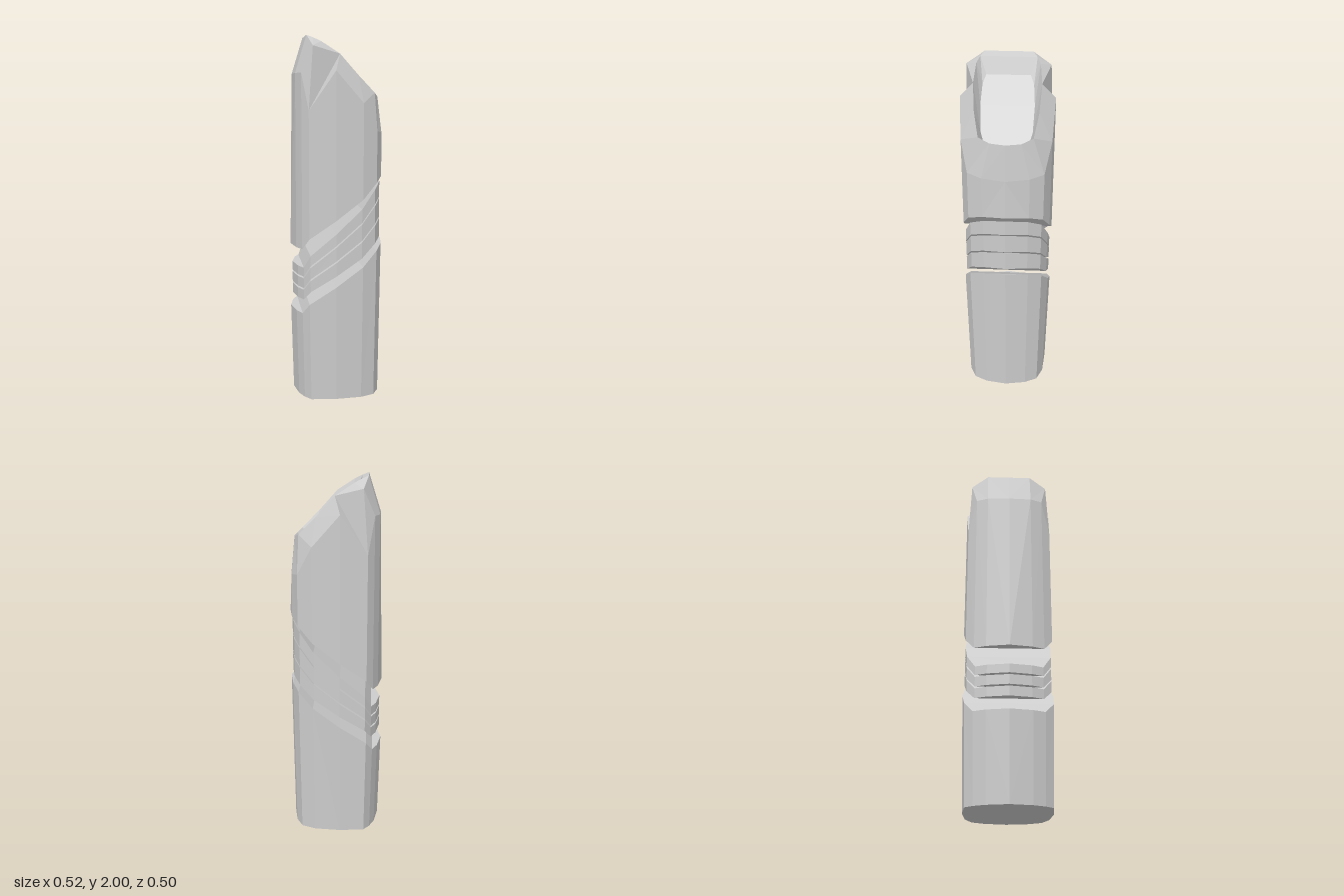
import * as THREE from 'three';

// Half outlines run from -x to +x along the +z side; each is mirrored into a closed 16-point ring.
const OUTLINE = [[-0.26, 0], [-0.238, 0.125], [-0.21, 0.19], [-0.175, 0.236], [-0.03, 0.25],
  [0.12, 0.236], [0.2, 0.2], [0.237, 0.125], [0.257, 0]];
// How far the slanted cut has risen at each outline point
const RISE = [0, 0, 0, 0.15, 0.4, 0.68, 0.9, 0.98, 1];

const ring = (half) => [...half, ...half.slice(1, -1).reverse().map(([x, y, z]) => [x, y, -z])];

// Outline cut by a slanted profile going from height l (-x) to height r (+x)
const cut = (l, r, s = 1) => OUTLINE.map(([x, z], i) => [x * s, l + (r - l) * RISE[i], z * s]);

// Skin between successive rings, closed at both ends by strips running across z
function loft(name, halves, material) {
  const rings = halves.map(ring);
  const n = rings[0].length;
  const pos = [];
  const tri = (a, b, c) => {
    const [A, B, C] = [a, b, c].map((p) => new THREE.Vector3(...p));
    const area = B.clone().sub(A).cross(C.clone().sub(A)).length();
    if (area > 1e-8) pos.push(...a, ...b, ...c);
  };
  const quad = (a, b, c, d) => { tri(a, b, c); tri(a, c, d); };
  for (let k = 0; k < rings.length - 1; k++) {
    const lo = rings[k], hi = rings[k + 1];
    for (let i = 0; i < n; i++) {
      const j = (i + 1) % n;
      // mirror the diagonal on the -z side
      if (i < n / 2) quad(lo[i], lo[j], hi[j], hi[i]);
      else quad(lo[j], hi[j], hi[i], lo[i]);
    }
  }
  const bottom = rings[0], top = rings[rings.length - 1];
  for (let i = 0; i < n / 2; i++) {
    const m = (n - i) % n, m1 = n - i - 1;
    quad(top[i], top[i + 1], top[m1], top[m]);
    quad(bottom[m], bottom[m1], bottom[i + 1], bottom[i]);
  }
  const geo = new THREE.BufferGeometry();
  geo.setAttribute('position', new THREE.Float32BufferAttribute(pos, 3));
  geo.computeVertexNormals();
  const mesh = new THREE.Mesh(geo, material);
  mesh.name = name;
  return mesh;
}

export function createModel() {
  const model = new THREE.Group();
  model.name = 'tower';
  const grey = new THREE.MeshStandardMaterial({ color: 0xcccccc, flatShading: true });

  // Lower shaft, slightly narrower at the ground, with a slanted top
  model.add(loft('lowerShaft', [cut(0, 0, 0.95), cut(0.49, 0.87)], grey));

  // Three slanted floating bands: bottom left/right, top left/right heights
  const bands = [[0.565, 0.905, 0.62, 1.01], [0.63, 1.02, 0.685, 1.125], [0.695, 1.135, 0.745, 1.22]];
  bands.forEach(([bl, br, tl, tr], i) => {
    model.add(loft(`band${i + 1}`, [cut(bl, br, 0.96), cut(tl, tr, 0.96)], grey));
  });

  // Upper shaft: top of the walls, bevelled crown, edge of the recess, recess floor
  const wallTop = [[-0.242, 1.8, 0], [-0.237, 1.8, 0.125], [-0.21, 1.8, 0.19], [-0.175, 1.6, 0.236],
    [-0.03, 1.81, 0.248], [0.12, 1.64, 0.235], [0.2, 1.49, 0.2], [0.236, 1.48, 0.125], [0.248, 1.47, 0]];
  const recessEdge = [[-0.14, 1.985, 0], [-0.14, 1.985, 0.147], [-0.14, 1.985, 0.147], [-0.1, 1.965, 0.165],
    [0, 1.9, 0.175], [0.1, 1.79, 0.165], [0.195, 1.695, 0.14], [0.22, 1.675, 0.08], [0.228, 1.67, 0]];
  const crown = [[-0.175, 2, 0], [-0.175, 2, 0.125], [-0.15, 1.94, 0.22], [-0.15, 1.94, 0.22],
    ...recessEdge.slice(4)];
  const recessFloor = [[-0.105, 1.9, 0], [-0.105, 1.9, 0.115], [-0.105, 1.9, 0.115], [-0.075, 1.86, 0.133],
    [0.005, 1.78, 0.14], [0.095, 1.67, 0.133], [0.135, 1.625, 0.115], [0.155, 1.605, 0.07], [0.163, 1.595, 0]];
  model.add(loft('upperShaft', [cut(0.85, 1.25), wallTop, crown, recessEdge, recessFloor], grey));

  return model;
}
